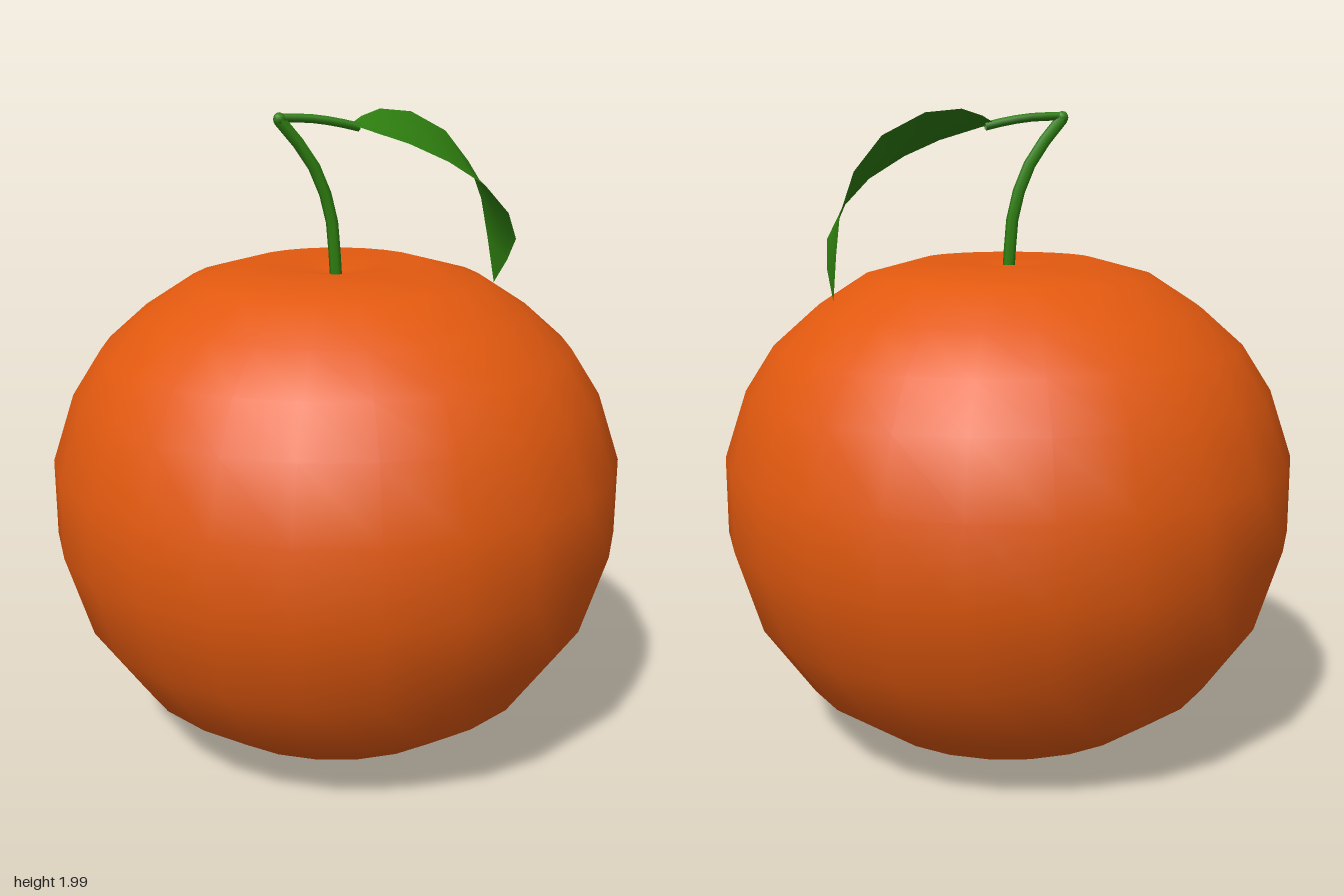
import * as THREE from 'three';

const v3 = (p) => new THREE.Vector3(...p);

// Open ribbon between two edge curves, sagging slightly along the midrib
function leafGeometry(backEdge, frontEdge, sag, columns = 6) {
  const positions = [], index = [];
  const rows = backEdge.length;
  for (let i = 0; i < rows; i++) {
    const a = v3(backEdge[i]), b = v3(frontEdge[i]);
    const depth = sag * Math.sin((Math.PI * i) / (rows - 1));
    for (let j = 0; j <= columns; j++) {
      const t = j / columns;
      const p = a.clone().lerp(b, t);
      p.y -= depth * (1 - Math.abs(2 * t - 1));
      positions.push(p.x, p.y, p.z);
    }
  }
  const w = columns + 1;
  for (let i = 0; i < rows - 1; i++) {
    for (let j = 0; j < columns; j++) {
      const k = i * w + j;
      index.push(k, k + 1, k + w, k + 1, k + w + 1, k + w);
    }
  }
  const g = new THREE.BufferGeometry();
  g.setAttribute('position', new THREE.Float32BufferAttribute(positions, 3));
  g.setIndex(index);
  g.computeVertexNormals();
  return g;
}

export function createModel() {
  const group = new THREE.Group();
  const orange = new THREE.MeshStandardMaterial({ color: 0xe2590f });
  orange.name = 'orange peel';
  const green = new THREE.MeshStandardMaterial({ color: 0x2f8010, side: THREE.DoubleSide });
  green.name = 'leaf green';

  const add = (name, geometry, material, parent = group) => {
    const mesh = new THREE.Mesh(geometry, material);
    mesh.name = name;
    parent.add(mesh);
    return mesh;
  };

  // Squat round fruit with a shallow dimple at the top
  const profile = [
    [0, 0.005], [0.265, 0.025], [0.47, 0.09], [0.655, 0.22], [0.81, 0.44], [0.89, 0.7],
    [0.89, 0.94], [0.82, 1.15], [0.73, 1.29], [0.605, 1.4], [0.45, 1.5], [0.265, 1.55], [0, 1.505],
  ].map(([x, y]) => new THREE.Vector2(x, y));
  add('fruit', new THREE.LatheGeometry(profile, 24), orange);

  // Stem: upright part, bend and thin arm to the leaf
  const stem = new THREE.Group();
  stem.name = 'stem';
  group.add(stem);
  const tube = (points, segments, radius) =>
    new THREE.TubeGeometry(new THREE.CatmullRomCurve3(points.map(v3)), segments, radius, 6);
  add('stemUpright', tube([[0, 1.49, 0], [-0.02, 1.7, 0], [-0.08, 1.85, 0], [-0.18, 1.975, -0.005]], 6, 0.019), green, stem);
  add('stemArm', tube([[-0.18, 1.982, -0.005], [-0.08, 1.978, 0], [0.0, 1.966, 0.008], [0.07, 1.95, 0.015]], 5, 0.013), green, stem);
  add('stemBend', new THREE.SphereGeometry(0.02, 8, 6), green, stem).position.set(-0.18, 1.978, -0.005);

  // Drooping leaf, tilted towards the front
  const base = [0.04, 1.96, 0.015], tip = [0.57, 1.44, -0.02];
  const backEdge = [
    base, [0.1, 1.98, -0.04], [0.19, 1.998, -0.1], [0.32, 1.985, -0.145], [0.46, 1.92, -0.175],
    [0.54, 1.82, -0.16], [0.575, 1.7, -0.13], [0.575, 1.58, -0.08], tip,
  ];
  const frontEdge = [
    base, [0.08, 1.94, 0.1], [0.15, 1.91, 0.2], [0.25, 1.86, 0.255], [0.36, 1.79, 0.28],
    [0.46, 1.7, 0.25], [0.53, 1.61, 0.18], [0.56, 1.53, 0.08], tip,
  ];
  add('leaf', leafGeometry(backEdge, frontEdge, 0.025), green);

  return group;
}
